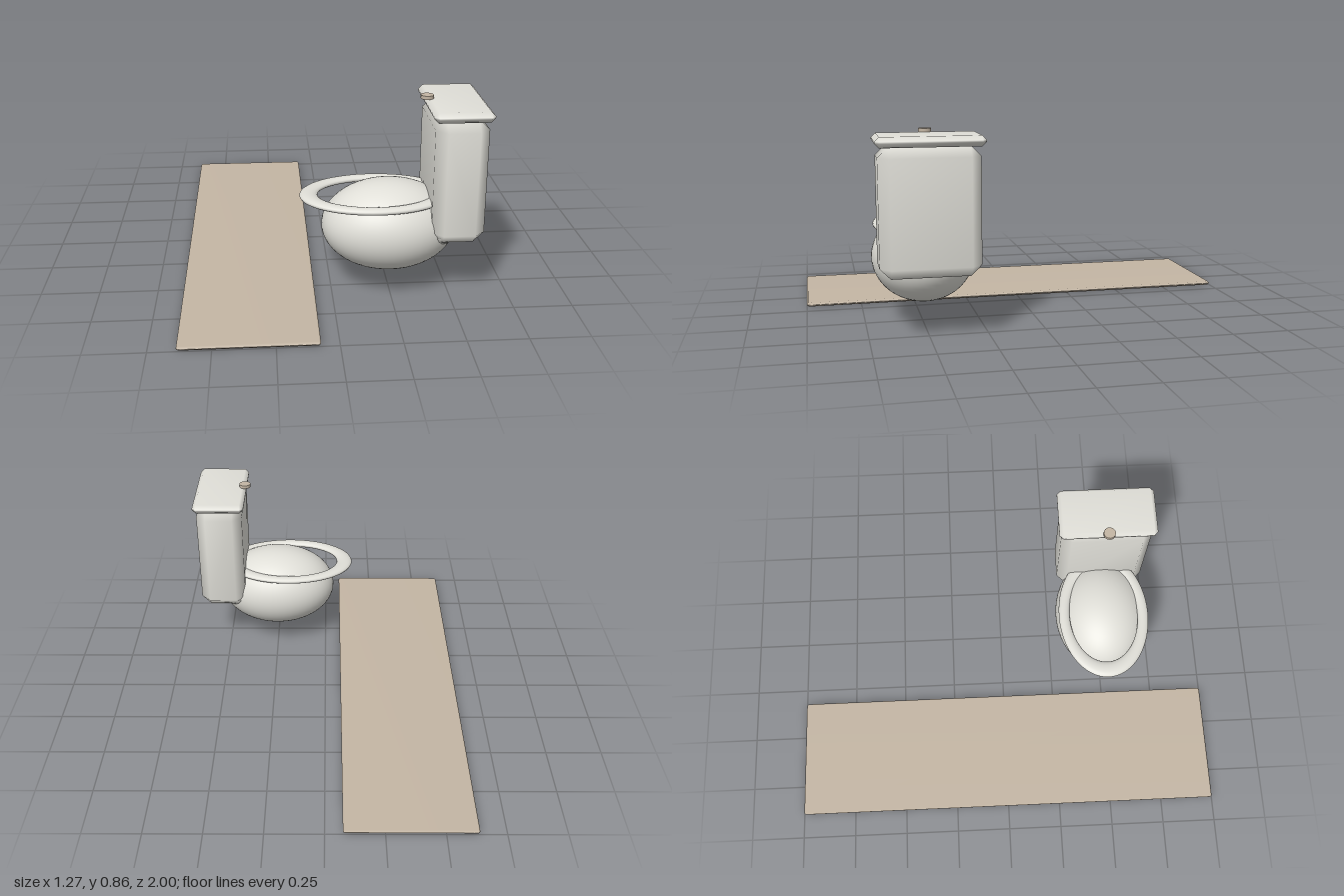
import * as THREE from 'three';
import { mergeVertices } from 'three/addons/utils/BufferGeometryUtils.js';
import { ConvexGeometry } from 'three/addons/geometries/ConvexGeometry.js';

// Box with single-step chamfered edges and smooth normals, given by its extents.
function chamferBox([x0, x1], [y0, y1], [z0, z1], bevel) {
  const half = [(x1 - x0) / 2, (y1 - y0) / 2, (z1 - z0) / 2];
  const points = [];
  for (const sx of [-1, 1]) for (const sy of [-1, 1]) for (const sz of [-1, 1]) {
    for (let axis = 0; axis < 3; axis++) {
      const p = half.map((h, i) => (i === axis ? h : h - bevel));
      points.push(new THREE.Vector3(sx * p[0], sy * p[1], sz * p[2]));
    }
  }
  let geometry = new ConvexGeometry(points);
  geometry.deleteAttribute('normal');
  geometry = mergeVertices(geometry, 1e-5);
  geometry.computeVertexNormals();
  geometry.translate((x0 + x1) / 2, (y0 + y1) / 2, (z0 + z1) / 2);
  return geometry;
}

export function createModel() {
  const model = new THREE.Group();
  const ceramic = new THREE.MeshStandardMaterial({ color: 0xe0dfd8 });
  ceramic.name = 'white ceramic';
  const tan = new THREE.MeshStandardMaterial({ color: 0xc4b6a4 });
  tan.name = 'tan';

  const add = (name, geometry, material) => {
    const mesh = new THREE.Mesh(geometry, material);
    mesh.name = name;
    model.add(mesh);
    return mesh;
  };

  const centreZ = 0.495;

  // Long floor strip
  add('floorStrip', chamferBox([-0.638, -0.075], [0, 0.018], [-1, 1], 0.0075), tan);

  // Egg-shaped bowl
  const bowl = add('bowl', new THREE.SphereGeometry(1, 48, 32), ceramic);
  bowl.scale.set(0.288, 0.195, 0.223);
  bowl.position.set(0.247, 0.292, centreZ);

  // Oval seat ring
  const seatGeometry = new THREE.TorusGeometry(1, 0.136, 16, 64);
  seatGeometry.rotateX(Math.PI / 2);
  const seat = add('seat', seatGeometry, ceramic);
  seat.scale.set(0.282, 0.11, 0.1885);
  seat.position.set(0.186, 0.425, 0.491);

  // Joint between bowl and tank
  add('tankJoint', chamferBox([0.405, 0.51], [0.25, 0.34], [0.315, 0.675], 0.035), ceramic);

  // Water tank and its lid
  add('tank', chamferBox([0.405, 0.625], [0.268, 0.805], [0.288, 0.706], 0.045), ceramic);
  add('tankLid', chamferBox([0.392, 0.636], [0.802, 0.846], [0.273, 0.717], 0.018), ceramic);

  // Round flush button on the inner edge of the lid
  const button = add('flushButton', new THREE.CylinderGeometry(0.027, 0.027, 0.015, 24), tan);
  button.position.set(0.396, 0.8535, 0.494);

  return model;
}
